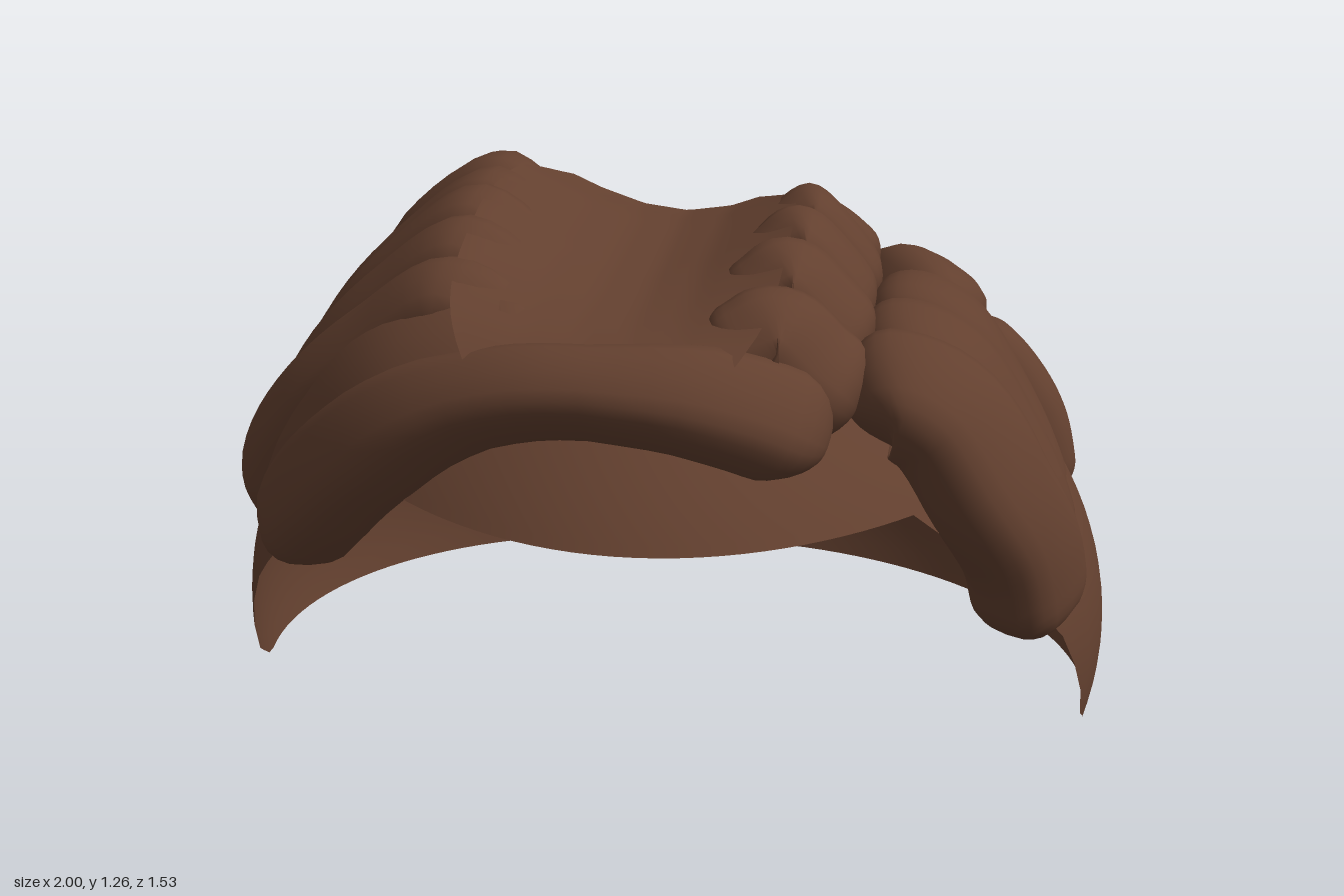
import * as THREE from 'three';

const brown = new THREE.MeshStandardMaterial({ color: 0x63402f, side: THREE.DoubleSide });
brown.name = 'hair brown';

const CY = 0.27, RX = 1, RY = 0.85, RZ = 0.765; // scalp ellipsoid

// piecewise linear lookup in [[key, value], ...]
function lookup(table, k) {
  for (let i = 1; i < table.length; i++) {
    const [k0, v0] = table[i - 1], [k1, v1] = table[i];
    if (k <= k1) return v0 + (v1 - v0) * Math.max(0, (k - k0) / (k1 - k0));
  }
  return table[table.length - 1][1];
}

// grid of points to a smooth surface; wrap closes the second direction
function gridGeometry(rows, cols, point, wrap) {
  const pos = [], idx = [], n = wrap ? cols : cols + 1;
  for (let i = 0; i <= rows; i++)
    for (let j = 0; j < n; j++) pos.push(...point(i / rows, j / cols));
  for (let i = 0; i < rows; i++)
    for (let j = 0; j < cols; j++) {
      const a = i * n + j, b = i * n + (j + 1) % n, c = a + n, d = b + n;
      idx.push(a, c, b, b, c, d);
    }
  const g = new THREE.BufferGeometry();
  g.setAttribute('position', new THREE.Float32BufferAttribute(pos, 3));
  g.setIndex(idx);
  g.computeVertexNormals();
  return g;
}

// cap: lower edge height by angle from the front (degrees)
const edge = [[0, 0.77], [45, 0.77], [55, 0.62], [66, 0.42], [75, 0.16], [82, 0.09], [180, 0.05]];
function capGeometry() {
  return gridGeometry(36, 120, (u, v) => {
    const th = v * Math.PI * 2;
    const deg = Math.min(v, 1 - v) * 360;
    const ph = u * Math.acos((lookup(edge, deg) - CY) / RY);
    const bulge = 1 + 0.23 * Math.max(0, Math.cos(th)) ** 2;
    return [RX * Math.sin(ph) * Math.sin(th), CY + RY * Math.cos(ph), RZ * bulge * Math.sin(ph) * Math.cos(th)];
  }, true);
}

// boxy rounding for the lock cross-section
const soft = c => Math.sign(c) * Math.abs(c) ** 0.75;

// lock: a flattened, round-ended tube whose outer crest follows the points
function lockGeometry(points, widths, h, cap = 0.14) {
  const curve = new THREE.CatmullRomCurve3(points.map(p => new THREE.Vector3(...p)));
  const table = widths.map((w, i) => [i / (widths.length - 1), w]);
  return gridGeometry(36, 20, (u, v) => {
    const t = 0.5 - 0.5 * Math.cos(u * Math.PI);
    const p = curve.getPointAt(t), tan = curve.getTangentAt(t);
    const nor = new THREE.Vector3(p.x / RX ** 2, (p.y - CY) / RY ** 2, p.z / RZ ** 2);
    nor.addScaledVector(tan, -nor.dot(tan)).normalize();
    const side = new THREE.Vector3().crossVectors(tan, nor);
    const e = Math.max(0, 1 - Math.min(t, 1 - t) / cap);
    const round = Math.sqrt(Math.max(0, 1 - e * e));
    const a = v * Math.PI * 2;
    p.addScaledVector(side, lookup(table, t) * round * soft(Math.cos(a)));
    p.addScaledVector(nor, h * (round * soft(Math.sin(a)) - 1));
    return p.toArray();
  }, true);
}

// crown height: a trough between two ridges that flattens toward the front
const trough = [[-0.42, 0.14], [-0.36, 0.13], [-0.28, 0.09], [-0.2, 0.05], [-0.1, 0.013], [0, 0], [0.1, 0.018], [0.2, 0.06], [0.3, 0.105]];
const rise = [[-0.22, 0.9], [-0.1, 1], [0.2, 0.97], [0.4, 0.7], [0.55, 0.4], [0.7, 0]];
const sink = [[-0.22, 0.01], [-0.1, 0], [0.3, 0], [0.5, 0.01], [0.62, 0.02], [0.7, 0.05], [0.74, 0.1]];
const crown = (x, z) => 1.165 + lookup(trough, x) * lookup(rise, z) - lookup(sink, z);

export function createModel() {
  const model = new THREE.Group();
  model.name = 'hair';
  const add = (name, geometry) => {
    const m = new THREE.Mesh(geometry, brown);
    m.name = name;
    model.add(m);
  };

  add('cap', capGeometry());

  // hollow running along the crown, narrowing at both ends
  add('crownHollow', gridGeometry(32, 28, (u, v) => {
    const z = -0.23 + 0.96 * u;
    const k = 1 - 0.35 * Math.abs(2 * u - 1) ** 4;
    const x = -0.05 + k * (-0.33 + 0.66 * v);
    return [x, crown(x, z), z];
  }, false));

  // right side: long locks swept from the ridge down the side
  const rightLocks = [[0.5, 0.3], [0.34, 0.13], [0.18, -0.03], [0.03, -0.18], [-0.11, -0.33]];
  rightLocks.forEach(([z0, z1], i) => {
    const d = 1.305 - crown(-0.41, z0), mix = k => z0 + (z1 - z0) * k, s = i === 4 ? 0.06 : 0;
    add('rightLock' + (i + 1), lockGeometry([
      [-0.17, crown(-0.17, z0) - 0.05, z0 + 0.02], [-0.28, crown(-0.28, z0) - 0.01, z0], [-0.41, crown(-0.41, z0) + 0.005, mix(0.1)],
      [-0.61, 1.17 - d, mix(0.35)], [-0.8 + s, 0.95 - d * 0.5, mix(0.7)],
      [-0.91 + s, 0.73, mix(0.95)], [-0.935 + s, 0.52, z1],
    ], [0.08, 0.1, 0.11, 0.11, 0.11], 0.13));
  });

  // left side: short locks over the ridge
  [0.53, 0.32, 0.11, -0.08].forEach((z, i) => {
    add('leftRidgeLock' + (i + 1), lockGeometry([
      [0.12, crown(0.12, z) - 0.05, z + 0.03], [0.21, crown(0.21, z) - 0.005, z + 0.02], [0.3, crown(0.3, z) + 0.005, z],
      [0.4, crown(0.3, z) - 0.08, z - 0.01], [0.5, 1.04, z - 0.02],
    ], [0.09, 0.115, 0.12, 0.12], 0.13, 0.2));
  });

  // left side: second tier falling over the temple
  [[0.49, 0.38, 0.45], [0.235, 0.21, 0.53], [-0.025, -0.04, 0.53]].forEach(([z0, z1, end], i) => {
    add('leftLock' + (i + 1), lockGeometry([
      [0.4, 1.07, z0], [0.54, 1.1, z0], [0.67, 1.04, z0], [0.79, 0.87, z0],
      [0.88, 0.69, (z0 + z1) / 2], [0.925, end, z1],
    ], [0.115, 0.13, 0.135, 0.13, 0.12], 0.11, 0.12));
  });
  add('leftRearLock', lockGeometry([
    [0.66, 0.98, -0.25], [0.78, 0.87, -0.26], [0.87, 0.72, -0.27], [0.92, 0.5, -0.27],
  ], [0.11, 0.125, 0.12], 0.12, 0.2));
  add('leftSweptLock', lockGeometry([
    [0.69, 1.0, -0.03], [0.64, 1.06, -0.15], [0.56, 1.05, -0.31], [0.51, 0.9, -0.47], [0.49, 0.7, -0.6], [0.47, 0.42, -0.68],
  ], [0.11, 0.125, 0.125, 0.13, 0.12], 0.12));

  // thick curl at the rear of the crown
  add('crownCurl', lockGeometry([
    [0.03, 1.15, -0.15], [0.16, 1.18, -0.2], [0.29, 1.21, -0.24], [0.4, 1.13, -0.28], [0.48, 1.04, -0.29],
  ], [0.06, 0.09, 0.11, 0.11], 0.13, 0.2));

  // back: broad locks fanning down from the crown
  [-0.34, -0.1, 0.18].forEach((x, i) => {
    const th = Math.asin(x / RX);
    const pts = [0.28, 0.5, 0.75, 1.0, 1.2, 1.42].map(ph => {
      const r = 1.02 * Math.sin(ph);
      return [RX * r * Math.sin(th), CY + 1.03 * RY * Math.cos(ph), -RZ * r * Math.cos(th)];
    });
    add('backLock' + (i + 1), lockGeometry(pts, [0.06, 0.1, 0.13, 0.145, 0.135], 0.09));
  });
  add('backRightLock1', lockGeometry([
    [-0.24, 1.23, -0.13], [-0.32, 1.16, -0.28], [-0.41, 1.0, -0.43], [-0.51, 0.77, -0.57], [-0.58, 0.4, -0.635],
  ], [0.1, 0.12, 0.13, 0.12], 0.12));
  add('backRightLock2', lockGeometry([
    [-0.3, 1.26, -0.11], [-0.46, 1.16, -0.24], [-0.61, 0.97, -0.36], [-0.73, 0.74, -0.45], [-0.8, 0.45, -0.47],
  ], [0.1, 0.12, 0.13, 0.12], 0.12));

  // fringe swept across the forehead to the right temple
  add('fringe', lockGeometry([
    [0.45, 1.0, 0.62], [0.33, 1.07, 0.66], [0.17, 1.125, 0.7], [0, 1.14, 0.72], [-0.22, 1.13, 0.72],
    [-0.45, 1.045, 0.68], [-0.66, 0.875, 0.59], [-0.82, 0.68, 0.47], [-0.89, 0.55, 0.39],
  ], [0.12, 0.11, 0.085, 0.09, 0.12, 0.13, 0.11], 0.11, 0.08));
  // hair rolling over from the right ridge into the fringe
  add('fringeRoll', lockGeometry([
    [-0.12, 1.1, 0.58], [-0.27, 1.16, 0.58], [-0.5, 1.1, 0.55],
    [-0.7, 0.93, 0.47], [-0.84, 0.73, 0.37], [-0.905, 0.55, 0.31],
  ], [0.1, 0.13, 0.14, 0.13, 0.11], 0.13));

  return model;
}
